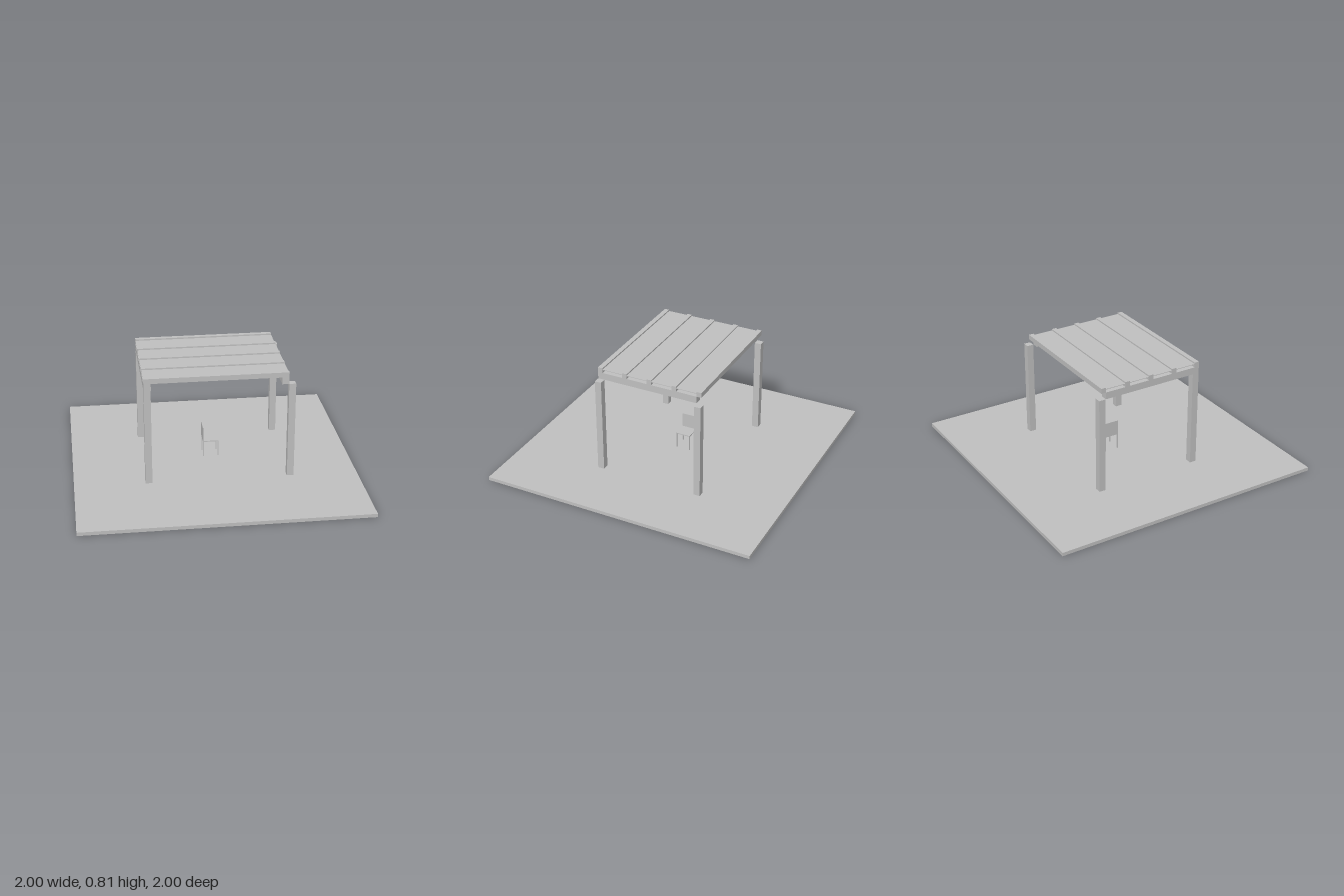
import * as THREE from 'three';

export function createModel() {
  const model = new THREE.Group();
  model.name = 'pergola';
  const grey = new THREE.MeshStandardMaterial({ color: 0xc0c0c0 });
  grey.name = 'light grey';

  // Box given by its extents on each axis
  const box = (parent, name, [x0, x1], [y0, y1], [z0, z1]) => {
    const mesh = new THREE.Mesh(new THREE.BoxGeometry(x1 - x0, y1 - y0, z1 - z0), grey);
    mesh.position.set((x0 + x1) / 2, (y0 + y1) / 2, (z0 + z1) / 2);
    mesh.name = name;
    parent.add(mesh);
  };

  const floorTop = 0.025, postTop = 0.727, beamTop = 0.777, roofTop = 0.813;
  box(model, 'floor', [-1, 1], [0, floorTop], [-1, 1]);

  // Four corner posts
  for (const x of [-0.502, 0.498]) {
    for (const z of [-0.425, 0.327]) {
      box(model, 'post', [x, x + 0.048], [floorTop, postTop], [z, z + 0.048]);
    }
  }

  // Side beams, running front to back
  for (const x of [-0.502, 0.448]) {
    box(model, 'beam', [x, x + 0.05], [postTop, beamTop], [-0.373, 0.375]);
  }

  // Rafters across the beams, with a thin roof sheet between them
  const roof = new THREE.Group();
  roof.name = 'roof';
  model.add(roof);
  for (let i = 0; i < 5; i++) {
    const z = 0.34 - i * 0.187;
    box(roof, 'rafter', [-0.502, 0.498], [beamTop, roofTop], [z, z + 0.035]);
  }
  box(roof, 'roofSheet', [-0.502, 0.498], [0.799, 0.803], [-0.408, 0.375]);

  // Chair facing +x
  const chair = new THREE.Group();
  chair.name = 'chair';
  model.add(chair);
  box(chair, 'seat', [-0.053, 0.059], [0.139, 0.146], [-0.109, 0.001]);
  box(chair, 'backrest', [-0.054, -0.047], [0.146, 0.252], [-0.109, 0.001]);
  for (const x of [-0.053, 0.052]) {
    for (const z of [-0.109, -0.006]) {
      box(chair, 'chairLeg', [x, x + 0.007], [floorTop, 0.139], [z, z + 0.007]);
    }
  }
  return model;
}
